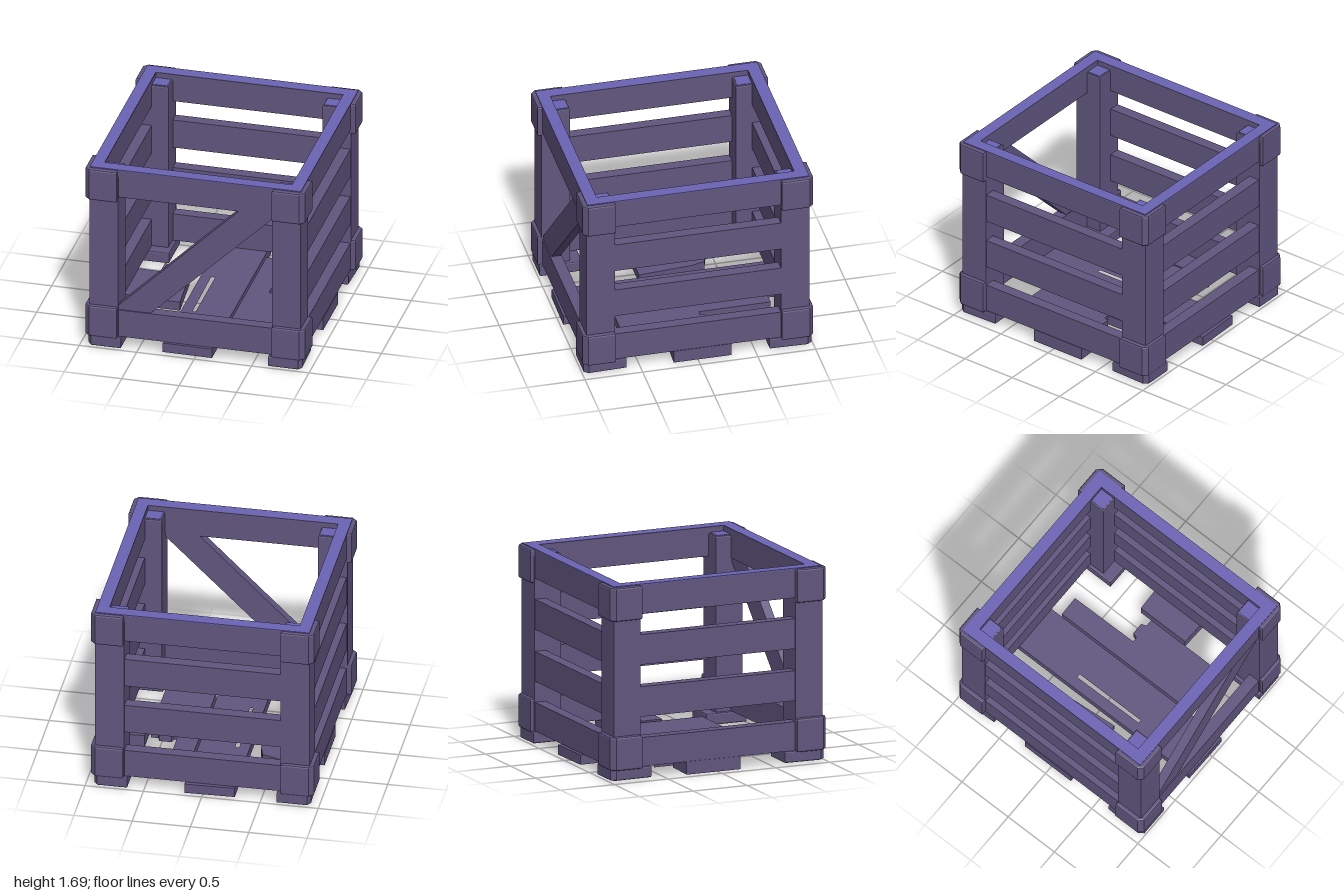
import * as THREE from 'three';

const wood = new THREE.MeshStandardMaterial({ color: 0x61567f });
wood.name = 'dusty purple wood';
const edge = new THREE.MeshStandardMaterial({ color: 0x6b63b4 });
edge.name = 'bright violet edge';

// Horizontal slab from an [x, z] outline, between heights y0 and y1
function slab(name, outline, y0, y1, { hole, bevel = 0, mat = wood } = {}) {
  const pts = (list) => list.map(([x, z]) => new THREE.Vector2(x, -z));
  const shape = new THREE.Shape(pts(outline));
  if (hole) shape.holes.push(new THREE.Path(pts(hole)));
  const geo = new THREE.ExtrudeGeometry(shape, {
    depth: y1 - y0 - 2 * bevel,
    bevelEnabled: bevel > 0,
    bevelThickness: bevel,
    bevelSize: bevel,
    bevelOffset: -bevel,
    bevelSegments: 2,
  });
  geo.rotateX(-Math.PI / 2);
  geo.translate(0, y0 + bevel, 0);
  const mesh = new THREE.Mesh(geo, mat);
  mesh.name = name;
  return mesh;
}

const rect = (x0, x1, z0, z1) => [[x0, z0], [x1, z0], [x1, z1], [x0, z1]];

function box(name, x0, x1, y0, y1, z0, z1) {
  const mesh = new THREE.Mesh(new THREE.BoxGeometry(x1 - x0, y1 - y0, z1 - z0), wood);
  mesh.position.set((x0 + x1) / 2, (y0 + y1) / 2, (z0 + z1) / 2);
  mesh.name = name;
  return mesh;
}

export function createModel() {
  const crate = new THREE.Group();
  crate.name = 'crate';

  // Corner posts, wrap-round caps and feet
  const capOutline = [[0.675, 1.0], [0.915, 1.0], [0.957, 0.96], [0.957, 0.72], [0.86, 0.72], [0.86, 0.9], [0.675, 0.9]];
  const footOutline = [[0.64, 0.62], [0.92, 0.62], [0.93, 0.95], [0.9, 0.99], [0.64, 0.99]];
  for (const sx of [-1, 1]) {
    for (const sz of [-1, 1]) {
      const flip = (list) => list.map(([x, z]) => [x * sx, z * sz]);
      const corner = new THREE.Group();
      corner.name = 'corner';
      corner.add(
        slab('post', flip(rect(0.67, 0.92, 0.72, 0.968)), 0.1, 1.63, { bevel: 0.012 }),
        slab('postTop', flip(rect(0.685, 0.82, 0.735, 0.86)), 1.628, 1.634, { mat: edge }),
        slab('upperCap', flip(capOutline), 1.39, 1.68, { bevel: 0.015 }),
        slab('lowerCap', flip(capOutline), 0.1, 0.39, { bevel: 0.015 }),
        slab('foot', flip(footOutline), 0.01, 0.11, { bevel: 0.012 }),
      );
      crate.add(corner);
    }
  }

  // Wall slats: four on the back and sides, two on the front
  const levels = [[0.11, 0.36], [0.54, 0.8], [0.99, 1.25], [1.43, 1.682]];
  levels.forEach(([y0, y1], i) => {
    crate.add(box('backSlat', -0.9, 0.9, y0, y1, -0.96, -0.86));
    for (const s of [-1, 1]) {
      const x = s * 0.865;
      crate.add(box('sideSlat', x - 0.048, x + 0.048, y0, y1, -0.94, 0.94));
    }
    if (i === 0 || i === 3) crate.add(box('frontSlat', -0.9, 0.9, y0, y1, 0.86, 0.96));
  });

  // Bright top of the rim
  crate.add(slab('rimTop', rect(-0.918, 0.918, -0.965, 0.96), 1.68, 1.688, {
    hole: rect(-0.815, 0.815, -0.86, 0.855),
    mat: edge,
  }));

  // Diagonal brace across the front
  const braceShape = new THREE.Shape([
    [-0.7, 0.34], [-0.41, 0.34], [0.7, 1.42], [0.7, 1.45], [0.4, 1.45], [-0.7, 0.37],
  ].map(([x, y]) => new THREE.Vector2(x, y)));
  const brace = new THREE.Mesh(new THREE.ExtrudeGeometry(braceShape, { depth: 0.08, bevelEnabled: false }), wood);
  brace.name = 'diagonalBrace';
  brace.position.z = 0.87;
  crate.add(brace);

  // Cracked and broken floor planks
  crate.add(
    slab('centrePlank', [[-0.28, -0.98], [0.15, -0.99], [0.15, 0.98], [-0.28, 0.975]], 0.02, 0.105, {
      hole: [[-0.19, -0.31], [-0.155, -0.31], [-0.155, 0.35], [-0.183, 0.35]],
    }),
    slab('leftPlank', [
      [0.17, -0.765], [0.35, -0.77], [0.355, -0.145], [0.4, -0.145], [0.415, -0.19],
      [0.52, -0.19], [0.535, -0.145], [0.6, -0.145], [0.6, 0.56], [0.17, 0.56],
    ], 0.02, 0.105),
    slab('rightPlank', [
      [-0.632, -0.46], [-0.54, -0.42], [-0.405, -0.38], [-0.37, -0.27], [-0.33, 0.205], [-0.632, 0.205],
    ], 0.02, 0.1),
  );
  for (const s of [-1, 1]) {
    crate.add(slab('edgePlank', [[0.627, -0.28], [0.918, -0.29], [0.918, 0.21], [0.627, 0.2]]
      .map(([x, z]) => [x * s, z]), 0, 0.112));
  }
  return crate;
}
